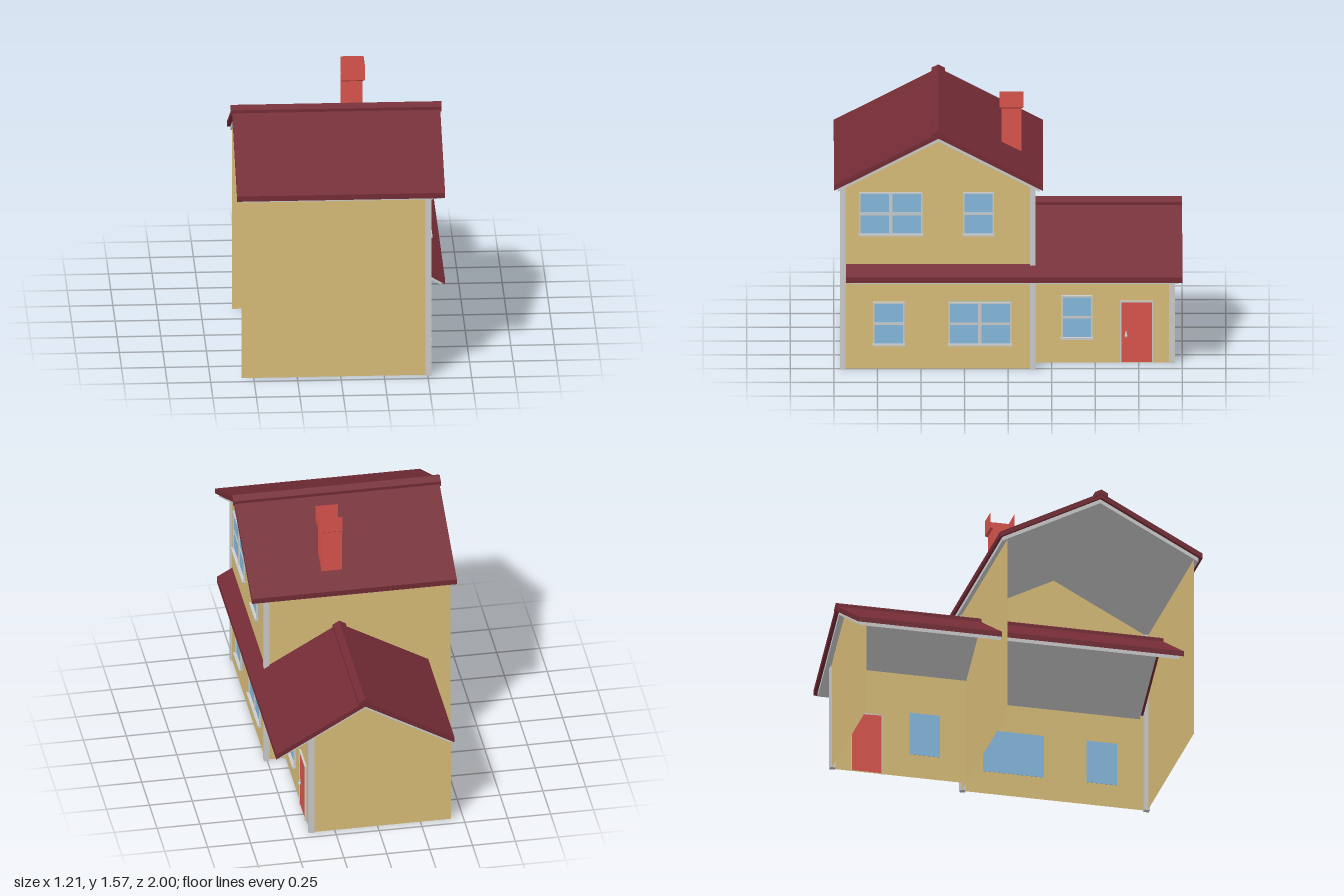
import * as THREE from 'three';

const mat = (color) => new THREE.MeshStandardMaterial({ color, side: THREE.DoubleSide, flatShading: true });

export function createModel() {
  const house = new THREE.Group();
  house.name = 'house';
  const tan = mat(0xd8bc78), maroon = mat(0x732b35), grey = mat(0xcccccc), blue = mat(0x84b8dc), red = mat(0xd9534c);

  const add = (name, geometry, material, parent = house) => {
    const mesh = new THREE.Mesh(geometry, material);
    mesh.name = name;
    parent.add(mesh);
    return mesh;
  };

  // Box given by its min and max corners
  const box = (name, [x0, y0, z0], [x1, y1, z1], material, parent) => {
    const mesh = add(name, new THREE.BoxGeometry(x1 - x0, y1 - y0, z1 - z0), material, parent);
    mesh.position.set((x0 + x1) / 2, (y0 + y1) / 2, (z0 + z1) / 2);
    return mesh;
  };

  // Thin flat convex panel
  const panel = (name, points, material, parent) => {
    const g = new THREE.BufferGeometry();
    g.setAttribute('position', new THREE.Float32BufferAttribute(points.flat(), 3));
    const index = [];
    for (let i = 1; i < points.length - 1; i++) index.push(0, i, i + 1);
    g.setIndex(index);
    g.computeVertexNormals();
    return add(name, g, material, parent);
  };

  // Folded slab with its ridge along z
  const chevron = (name, half, peak, slope, thick, length, material, parent) => {
    const drop = half * slope;
    const s = new THREE.Shape([
      [-half, peak - drop], [-half, peak - drop - thick], [0, peak - thick],
      [half, peak - drop - thick], [half, peak - drop], [0, peak],
    ].map(([x, y]) => new THREE.Vector2(x, y)));
    const g = new THREE.ExtrudeGeometry(s, { depth: length, bevelEnabled: false });
    g.translate(0, 0, -length / 2);
    return add(name, g, material, parent);
  };

  // Roof: tiles, grey lining below, ridge cap
  const roof = (name, half, peak, slope, length, capOver) => {
    const g = new THREE.Group();
    g.name = name;
    chevron('roofTiles', half, peak, slope, 0.032, length, maroon, g);
    chevron('roofLining', half - 0.02, peak - 0.032, slope, 0.024, length - 0.04, grey, g);
    chevron('ridgeCap', 0.038, peak + 0.018, slope, 0.03, length + capOver, maroon, g);
    house.add(g);
    return g;
  };
  const mainSlope = 0.525, mainPeak = 1.455, wingSlope = 0.58, wingPeak = 0.885;
  const mainRoof = roof('mainRoof', 0.6, mainPeak, mainSlope, 1.195, 0.015);
  mainRoof.rotation.y = Math.PI / 2;
  mainRoof.position.z = 0.4;
  // The low roof runs on through the main block and shows as a pent roof
  const lowRoof = roof('lowRoof', 0.52, wingPeak, wingSlope, 1.93, 0);
  lowRoof.position.set(0.08, 0, -0.035);

  // Walls (open at the rear, x-)
  const mainTop = (z) => mainPeak - 0.045 - Math.abs(z - 0.4) * mainSlope;
  const wingTop = (x) => wingPeak - 0.045 - Math.abs(x - 0.08) * wingSlope;
  const X = 0.51, B = -0.57, F = 0.955, M = -0.148, WX = 0.392, WB = -0.43, E = -0.948;
  panel('mainFacade', [[X, 0.005, F], [X, 0.005, M], [X, mainTop(M), M], [X, mainTop(0.4), 0.4], [X, mainTop(F), F]], tan);
  for (const z of [F, M]) {
    panel('mainSideWall', [[B, 0.005, z], [X, 0.005, z], [X, mainTop(z), z], [B, mainTop(z), z]], tan);
  }
  panel('wingFacade', [[WX, 0, M], [WX, 0, E], [WX, wingTop(WX), E], [WX, wingTop(WX), M]], tan);
  panel('wingEndWall', [[WX, 0, E], [WB, 0, E], [WB, wingTop(WB), E], [0.08, wingTop(0.08), E], [WX, wingTop(WX), E]], tan);

  // Corner posts
  box('cornerPost', [0.487, 0, 0.933], [0.52, 1.11, 0.965], grey);
  box('cornerPost', [0.487, 0, -0.157], [0.52, 1.11, -0.125], grey);
  box('cornerPost', [0.37, 0, -0.957], [0.402, 0.64, -0.925], grey);

  // Window: pane, frame, sill and glazing bars; z0 < z1
  const windowAt = (x, z0, z1, y0, y1, wide) => {
    const g = new THREE.Group();
    g.name = 'window';
    const f = 0.009, d = x + 0.012, mid = (y0 + y1) / 2, zc = (z0 + z1) / 2;
    box('pane', [x - 0.002, y0, z0], [x + 0.004, y1, z1], blue, g);
    box('frameTop', [x, y1 - f, z0], [d, y1, z1], grey, g);
    for (const z of [z0, z1 - f]) box('frameSide', [x, y0, z], [d, y1, z + f], grey, g);
    box('sill', [x, y0, z0 - 0.003], [x + 0.022, y0 + 0.012, z1 + 0.003], grey, g);
    box('crossBar', [x, mid - 0.007, z0], [x + 0.008, mid + 0.007, z1], grey, g);
    if (wide) box('mullion', [x, y0, zc - 0.01], [x + 0.01, y1, zc + 0.01], grey, g);
    house.add(g);
  };
  windowAt(X, 0.49, 0.855, 0.81, 1.072, true);
  windowAt(X, 0.08, 0.26, 0.81, 1.072, false);
  windowAt(X, 0.595, 0.775, 0.145, 0.408, false);
  windowAt(X, -0.02, 0.343, 0.145, 0.408, true);
  windowAt(WX, -0.485, -0.305, 0.145, 0.408, false);

  // Door with frame and knob
  const door = new THREE.Group();
  door.name = 'door';
  box('doorLeaf', [WX, 0.006, -0.825], [WX + 0.006, 0.37, -0.65], red, door);
  box('doorFrameTop', [WX, 0.368, -0.832], [WX + 0.012, 0.377, -0.643], grey, door);
  for (const z of [-0.832, -0.65]) box('doorFrameSide', [WX, 0.004, z], [WX + 0.012, 0.377, z + 0.007], grey, door);
  box('doorPlate', [WX, 0.155, -0.682], [WX + 0.008, 0.19, -0.67], grey, door);
  add('doorKnob', new THREE.SphereGeometry(0.009, 10, 8), grey, door).position.set(WX + 0.015, 0.167, -0.678);
  house.add(door);

  // Chimney: three sides, open at the rear and the top
  const chimney = new THREE.Group();
  chimney.name = 'chimney';
  const roofY = (z) => mainPeak - 0.01 - Math.abs(z - 0.4) * mainSlope;
  const sides = (name, x0, x1, z0, z1, low, high) => {
    const path = [[x0, z1], [x1, z1], [x1, z0], [x0, z0]];
    for (let i = 0; i < 3; i++) {
      const [a, b] = path[i], [c, d] = path[i + 1];
      panel(name, [[a, low(b), b], [c, low(d), d], [c, high, d], [a, high, b]], red, chimney);
    }
  };
  sides('chimneyShaft', 0.05, 0.17, -0.077, 0.038, roofY, 1.468);
  sides('chimneyCap', 0.05, 0.183, -0.09, 0.05, () => 1.475, 1.57);
  // Sloped ledge joining shaft and cap
  const inner = [[0.05, 0.038], [0.17, 0.038], [0.17, -0.077], [0.05, -0.077]];
  const outer = [[0.05, 0.05], [0.183, 0.05], [0.183, -0.09], [0.05, -0.09]];
  for (let i = 0; i < 3; i++) {
    const p = ([x, z], y) => [x, y, z];
    panel('chimneyLedge', [p(inner[i], 1.465), p(inner[i + 1], 1.465), p(outer[i + 1], 1.475), p(outer[i], 1.475)], red, chimney);
  }
  house.add(chimney);

  return house;
}
